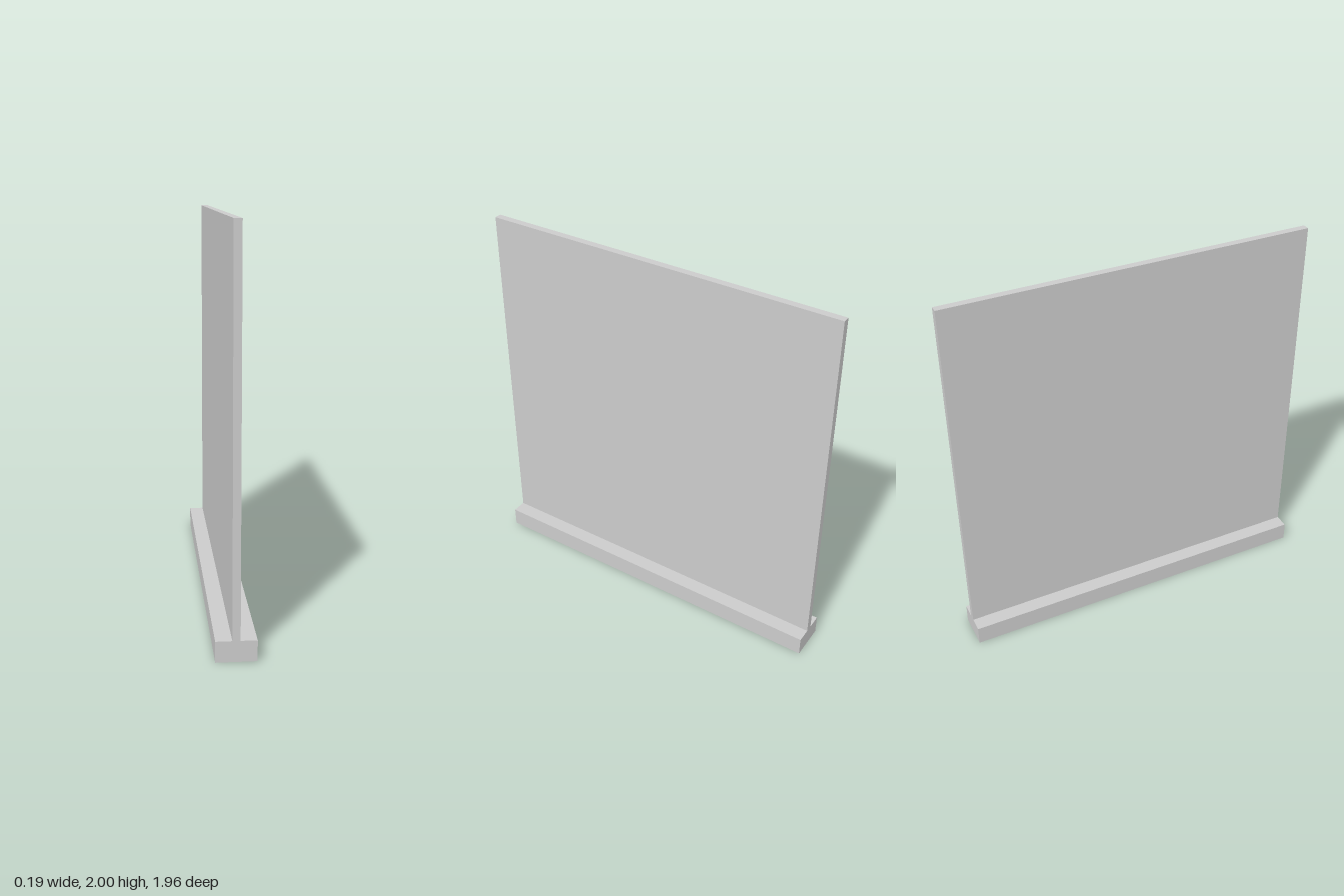
import * as THREE from 'three';

const HEIGHT = 2;
const DEPTH = 1.955;
const BASE_WIDTH = 0.195;
const BASE_HEIGHT = 0.103;
const PANEL_THICKNESS = 0.038;

export function createModel() {
  const model = new THREE.Group();
  model.name = 'standingPanel';
  const material = new THREE.MeshStandardMaterial({ color: 0xcccccc, flatShading: true });

  // Box standing on the given height
  const addBox = (name, width, height, bottom) => {
    const mesh = new THREE.Mesh(new THREE.BoxGeometry(width, height, DEPTH), material);
    mesh.name = name;
    mesh.position.y = bottom + height / 2;
    model.add(mesh);
  };

  // Low foot rail running the full depth
  addBox('base', BASE_WIDTH, BASE_HEIGHT, 0);

  // Thin upright sheet centred on the rail
  addBox('panel', PANEL_THICKNESS, HEIGHT - BASE_HEIGHT, BASE_HEIGHT);

  return model;
}
